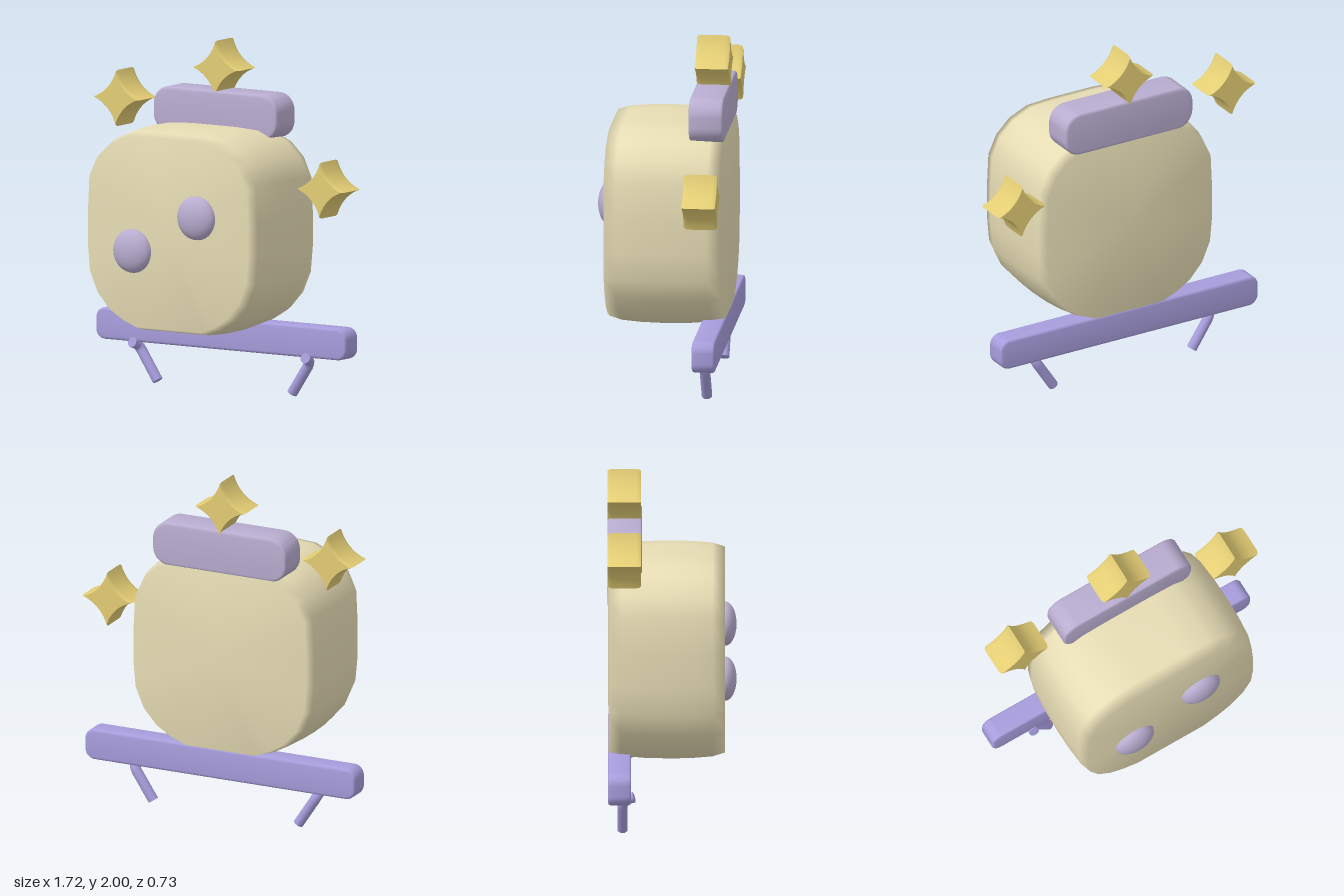
import * as THREE from 'three';
import { toCreasedNormals } from 'three/addons/utils/BufferGeometryUtils.js';

const CREAM = 0xe6dcb4, LILAC = 0xb9add0, VIOLET = 0xa79ddc, GOLD = 0xe3cd74;

function addMesh(parent, name, geometry, color, x = 0, y = 0, z = 0) {
  const material = new THREE.MeshStandardMaterial({ color });
  const mesh = new THREE.Mesh(geometry, material);
  mesh.name = name;
  mesh.position.set(x, y, z);
  parent.add(mesh);
  return mesh;
}

// Closed solid from one counter-clockwise outline, scaled along z; rings are [z, scale] back to front
function loft(outline, rings) {
  const n = outline.length, pos = [], idx = [];
  for (const [z, s] of rings) for (const p of outline) pos.push(p.x * s, p.y * s, z);
  for (let r = 0; r < rings.length - 1; r++) {
    for (let i = 0; i < n; i++) {
      const a = r * n + i, b = r * n + (i + 1) % n;
      idx.push(a, b, b + n, a, b + n, a + n);
    }
  }
  const back = pos.length / 3, front = back + 1, last = (rings.length - 1) * n;
  pos.push(0, 0, rings[0][0], 0, 0, rings[rings.length - 1][0]);
  for (let i = 0; i < n; i++) {
    const j = (i + 1) % n;
    idx.push(back, j, i, front, last + i, last + j);
  }
  const geometry = new THREE.BufferGeometry();
  geometry.setAttribute('position', new THREE.Float32BufferAttribute(pos, 3));
  geometry.setIndex(idx);
  geometry.computeVertexNormals();
  return geometry;
}

// Slab with rounded front corners and a slim bevel
function roundedSlab(w, h, d, r) {
  const b = 0.015, x = w / 2 - b, y = h / 2 - b, q = r - b;
  const shape = new THREE.Shape();
  shape.absarc(x - q, y - q, q, 0, Math.PI / 2);
  shape.absarc(-x + q, y - q, q, Math.PI / 2, Math.PI);
  shape.absarc(-x + q, -y + q, q, Math.PI, Math.PI * 1.5);
  shape.absarc(x - q, -y + q, q, Math.PI * 1.5, Math.PI * 2);
  const geometry = new THREE.ExtrudeGeometry(shape, {
    depth: d - 2 * b, bevelSize: b, bevelThickness: b, bevelSegments: 3, curveSegments: 8,
  });
  geometry.translate(0, 0, b - d / 2);
  return toCreasedNormals(geometry, 0.7);
}

// Four-pointed star with concave sides
function starGeometry() {
  const R = 0.16, c = 0.042;
  const shape = new THREE.Shape();
  shape.moveTo(R, 0);
  shape.quadraticCurveTo(c, c, 0, R);
  shape.quadraticCurveTo(-c, c, -R, 0);
  shape.quadraticCurveTo(-c, -c, 0, -R);
  shape.quadraticCurveTo(c, -c, R, 0);
  const outline = shape.getPoints(10).slice(0, -1);
  const rings = [[-0.095, 0.92], [-0.088, 0.97], [-0.07, 1], [0.07, 1], [0.088, 0.97], [0.095, 0.92]];
  return toCreasedNormals(loft(outline, rings), 0.8);
}

export function createModel() {
  const model = new THREE.Group();
  model.name = 'cubeCharacter';

  // Body: faceted rounded square, slightly bulging in the middle of its depth
  const half = [
    [0.23, -0.575], [0.33, -0.535], [0.42, -0.48], [0.505, -0.385], [0.56, -0.26], [0.575, -0.1],
    [0.575, 0.1], [0.565, 0.31], [0.51, 0.43], [0.42, 0.515], [0.30, 0.568], [0.15, 0.577],
  ];
  const mirrored = half.map(([x, y]) => [-x, y]).reverse();
  const bodyOutline = [...half, ...mirrored].map(([x, y]) => new THREE.Vector2(x, y));
  const bodyRings = [
    [-0.36, 0.945], [-0.29, 0.975], [-0.15, 0.995], [0, 1], [0.12, 0.995], [0.23, 0.98], [0.3, 0.945],
  ];
  addMesh(model, 'body', loft(bodyOutline, bodyRings), CREAM, -0.015, 0.95, 0);

  // Eyes: flattened domes at different heights
  const eye = new THREE.SphereGeometry(0.125, 32, 20);
  eye.scale(1, 1, 0.52);
  addMesh(model, 'rightEye', eye, LILAC, -0.255, 0.84, 0.3);
  addMesh(model, 'leftEye', eye, LILAC, 0.18, 1.06, 0.3);

  // Cap and the bar behind the base
  addMesh(model, 'cap', roundedSlab(0.84, 0.255, 0.195, 0.1), LILAC, -0.012, 1.588, -0.267);
  addMesh(model, 'bar', roundedSlab(1.7, 0.18, 0.13, 0.06), VIOLET, -0.015, 0.322, -0.297);

  // Bent legs, mirrored about the bar's middle
  for (const [name, side] of [['rightLeg', -1], ['leftLeg', 1]]) {
    const path = new THREE.CurvePath();
    const p = (x, y, z) => new THREE.Vector3(side * x, y, z);
    const start = p(0.588, 0.232, -0.215), bendIn = p(0.585, 0.222, -0.245);
    const bend = p(0.582, 0.21, -0.28), bendOut = p(0.56, 0.172, -0.28), foot = p(0.457, 0.016, -0.28);
    path.add(new THREE.LineCurve3(start, bendIn));
    path.add(new THREE.QuadraticBezierCurve3(bendIn, bend, bendOut));
    path.add(new THREE.LineCurve3(bendOut, foot));
    const leg = new THREE.Group();
    leg.name = name;
    leg.position.x = -0.015;
    model.add(leg);
    addMesh(leg, name + 'Tube', new THREE.TubeGeometry(path, 24, 0.03, 14), VIOLET);
    // Flat discs closing the tube ends
    for (const [end, dir] of [[start, start.clone().sub(bendIn)], [foot, foot.clone().sub(bendOut)]]) {
      const disc = addMesh(leg, name + 'End', new THREE.CircleGeometry(0.03, 14), VIOLET, end.x, end.y, end.z);
      disc.quaternion.setFromUnitVectors(new THREE.Vector3(0, 0, 1), dir.normalize());
    }
  }

  // Stars around the head
  const star = starGeometry();
  for (const [name, x, y] of [['rightStar', -0.69, 1.62], ['topStar', -0.015, 1.84], ['leftStar', 0.695, 1.2]]) {
    addMesh(model, name, star, GOLD, x, y, -0.27);
  }

  return model;
}
